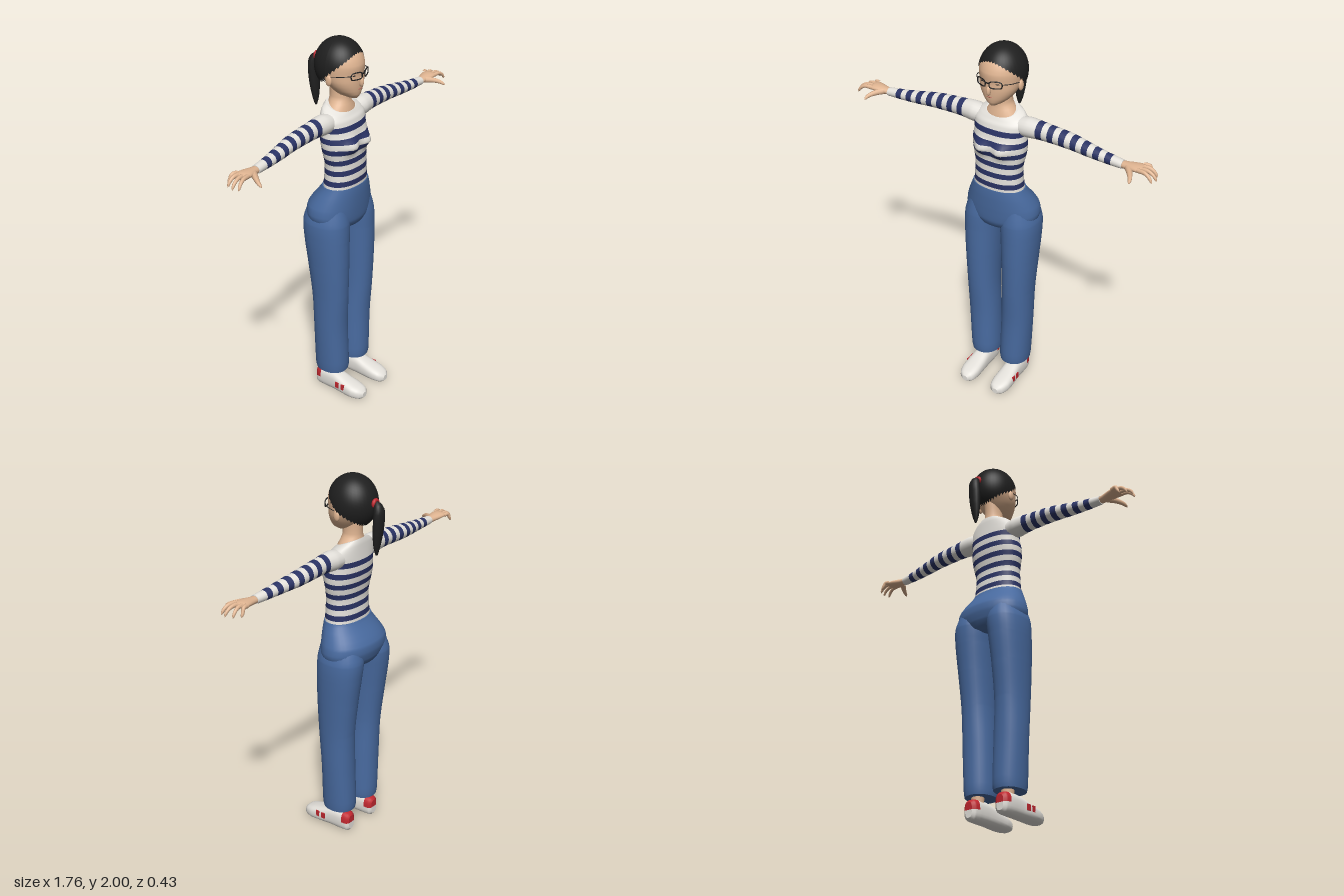
import * as THREE from 'three';

const flat = (name, color, extra = {}) => Object.assign(new THREE.MeshStandardMaterial({ color, ...extra }), { name });
const skin = flat('skin', 0xdfb491);
const white = flat('white cloth', 0xe4e1db);
const navy = flat('navy stripe', 0x2a3365);
const denim = flat('denim', 0x486a9f);
const black = flat('black hair', 0x1f1f1f, { side: THREE.DoubleSide });
const red = flat('red trim', 0xc0272f);
const lip = flat('lip', 0xb5705f);

// Smooth interpolation of section rows keyed by their first value
function sample(rows, s) {
  let i = 0;
  while (i < rows.length - 2 && s > rows[i + 1][0]) i++;
  const a = rows[i], b = rows[i + 1], p = rows[i - 1] ?? a, n = rows[i + 2] ?? b;
  const h = b[0] - a[0], t = (s - a[0]) / h;
  return a.map((v, k) => {
    const m0 = (b[k] - p[k]) / (b[0] - p[0]) * h, m1 = (n[k] - v) / (n[0] - a[0]) * h;
    return (2 * t ** 3 - 3 * t * t + 1) * v + (t ** 3 - 2 * t * t + t) * m0
      + (3 * t * t - 2 * t ** 3) * b[k] + (t ** 3 - t * t) * m1;
  });
}

// Loft along y. Row: [station, centre x, half width, front z, back z]
function loft(rows, { cuts = [], seg = 28, step = 0.02, e = 1, warp, mat = () => 0, capped = true } = {}) {
  const set = [...cuts, ...rows.map(r => r[0])];
  const s0 = rows[0][0], s1 = rows[rows.length - 1][0];
  for (let s = s0; s < s1; s += step) if (!set.some(c => Math.abs(c - s) < step * 0.3)) set.push(s);
  const st = set.filter(s => s >= s0 && s <= s1).sort((a, b) => a - b).filter((s, i, all) => !i || s - all[i - 1] > 1e-5);
  const pos = [], buckets = [[], []];
  const bend = v => Math.sign(v) * Math.abs(v) ** e;
  const ring = s => {
    const [, c, r, f, b] = sample(rows, s), first = pos.length / 3;
    for (let j = 0; j < seg; j++) {
      const a = j / seg * Math.PI * 2;
      const p = new THREE.Vector3(c + r * bend(Math.cos(a)), s, (f + b) / 2 + (f - b) / 2 * bend(Math.sin(a)));
      if (warp) warp(p, s);
      pos.push(p.x, p.y, p.z);
    }
    return first;
  };
  st.forEach(ring);
  for (let i = 0; i < st.length - 1; i++) for (let j = 0; j < seg; j++) {
    const k = (j + 1) % seg, a = i * seg + j, b = i * seg + k;
    buckets[mat((st[i] + st[i + 1]) / 2, (j + 0.5) / seg * Math.PI * 2)].push(a, a + seg, b, b, a + seg, b + seg);
  }
  if (capped) for (const [s, top] of [[s0, false], [s1, true]]) {
    const [, c, , f, b] = sample(rows, s), first = ring(s), mid = pos.length / 3;
    const p = new THREE.Vector3(c, s, (f + b) / 2);
    if (warp) warp(p, s);
    pos.push(p.x, p.y, p.z);
    for (let j = 0; j < seg; j++) {
      const x = first + j, y = first + (j + 1) % seg;
      buckets[mat(s, (j + 0.5) / seg * Math.PI * 2)].push(mid, top ? y : x, top ? x : y);
    }
  }
  const g = new THREE.BufferGeometry();
  g.setAttribute('position', new THREE.Float32BufferAttribute(pos, 3));
  g.setIndex(buckets.flat());
  g.addGroup(0, buckets[0].length, 0);
  if (buckets[1].length) g.addGroup(buckets[0].length, buckets[1].length, 1);
  g.computeVertexNormals();
  return g;
}

// Tube whose radius tapers and closes at the tip
function taper(points, r0, r1) {
  const path = new THREE.CatmullRomCurve3(points.map(p => new THREE.Vector3(...p)));
  const n = 12, g = new THREE.TubeGeometry(path, n, 1, 10), p = g.attributes.position, v = new THREE.Vector3();
  for (let i = 0; i < p.count; i++) {
    const t = Math.floor(i / 11) / n, c = path.getPointAt(t);
    const r = (r0 + (r1 - r0) * t) * Math.sqrt(Math.max(0, 1 - t ** 10));
    v.fromBufferAttribute(p, i).sub(c).multiplyScalar(r).add(c);
    p.setXYZ(i, v.x, v.y, v.z);
  }
  g.computeVertexNormals();
  return g;
}

const ball = (x, y, z, a, b, c) => new THREE.SphereGeometry(1, 20, 14).scale(a, b, c).translate(x, y, z);

function mirrored(geo) {
  const g = geo.clone().scale(-1, 1, 1), ix = g.index;
  for (let i = 0; i < ix.count; i += 3) {
    const a = ix.getX(i);
    ix.setX(i, ix.getX(i + 2));
    ix.setX(i + 2, a);
  }
  return g;
}

export function createModel() {
  const model = new THREE.Group();
  model.name = 'woman';
  const add = (name, geo, mat) => {
    const m = new THREE.Mesh(geo, mat);
    m.name = name;
    model.add(m);
  };
  const pair = (name, geo, mat) => {
    add(name + 'Left', geo, mat);
    add(name + 'Right', mirrored(geo), mat);
  };
  // Stripe helper: band edges and a test for a repeating pattern
  const stripes = (start, pitch, width, count) => ({
    cuts: Array.from({ length: count * 2 }, (_, i) => start + (i >> 1) * pitch + (i % 2) * width),
    mat: s => (s > start && s < start + pitch * count && (s - start) % pitch < width ? 1 : 0),
  });

  // Shirt body with bust and a neckline that dips at the front
  add('shirt', loft([
    [1.225, 0, 0.142, 0.1, -0.078], [1.28, 0, 0.135, 0.1, -0.074], [1.36, 0, 0.133, 0.095, -0.07],
    [1.42, 0, 0.145, 0.094, -0.078], [1.48, 0, 0.151, 0.094, -0.088], [1.54, 0, 0.145, 0.086, -0.092],
    [1.59, 0, 0.15, 0.072, -0.09], [1.62, 0, 0.14, 0.06, -0.088], [1.643, 0, 0.115, 0.052, -0.086],
    [1.655, 0, 0.086, 0.047, -0.082],
  ], {
    ...stripes(1.25, 0.0585, 0.028, 6), seg: 40, step: 0.012, e: 0.9,
    warp: (p, s) => {
      if (p.z > 0) p.z += 0.036 * Math.exp(-(((s - 1.465) / 0.035) ** 2) - ((Math.abs(p.x) - 0.06) / 0.045) ** 2);
      if (s > 1.6) p.y -= 0.024 * (s - 1.6) / 0.055 * (p.z + 0.02) / 0.06;
    },
  }), [white, navy]);

  // Sleeves, lofted along x: rows hold minus the height
  pair('sleeve', loft([
    [0.09, -1.585, 0.045, 0.035, -0.065], [0.16, -1.59, 0.052, 0.04, -0.068], [0.24, -1.59, 0.047, 0.03, -0.06],
    [0.4, -1.58, 0.04, 0.026, -0.06], [0.5, -1.571, 0.034, 0.03, -0.046], [0.6, -1.563, 0.028, 0.03, -0.03],
    [0.695, -1.558, 0.022, 0.03, -0.02],
  ], { ...stripes(0.217, 0.0645, 0.033, 7), seg: 20 }).rotateZ(-Math.PI / 2), [white, navy]);

  // Hands
  pair('palm', loft([
    [0.68, -1.558, 0.017, 0.025, -0.016], [0.72, -1.56, 0.018, 0.032, -0.022], [0.76, -1.564, 0.018, 0.042, -0.032],
    [0.795, -1.566, 0.014, 0.043, -0.036], [0.81, -1.565, 0.007, 0.036, -0.03],
  ], { seg: 18 }).rotateZ(-Math.PI / 2), skin);
  [[-0.03, 0.835, -0.043], [-0.01, 0.866, -0.018], [0.012, 0.88, 0.02], [0.033, 0.87, 0.05]].forEach(([z0, x, z], i) =>
    pair('finger' + (i + 1), taper([[0.785, 1.567, z0], [(0.79 + x) / 2, 1.568, (z0 + z) / 2],
      [x - 0.012, 1.55, z * 0.95], [x, 1.528, z]], 0.012, 0.007), skin));
  pair('thumb', taper([[0.725, 1.558, 0.015], [0.755, 1.553, 0.055], [0.775, 1.543, 0.088], [0.782, 1.53, 0.112]], 0.018, 0.008), skin);

  // Trousers: hips and legs
  add('trouserHips', loft([
    [0.995, 0, 0.06, 0.06, -0.09], [1.01, 0, 0.13, 0.088, -0.135], [1.045, 0, 0.193, 0.1, -0.152],
    [1.09, 0, 0.206, 0.104, -0.163], [1.13, 0, 0.197, 0.106, -0.158], [1.18, 0, 0.174, 0.107, -0.122],
    [1.22, 0, 0.153, 0.106, -0.09], [1.235, 0, 0.147, 0.104, -0.083],
  ], { seg: 40, e: 0.92 }), denim);
  pair('trouserLeg', loft([
    [0.13, 0.093, 0.076, 0.08, -0.095], [0.155, 0.093, 0.08, 0.085, -0.1], [0.4, 0.103, 0.083, 0.083, -0.1],
    [0.6, 0.11, 0.082, 0.094, -0.106], [0.8, 0.113, 0.09, 0.1, -0.13], [0.95, 0.112, 0.098, 0.1, -0.151],
    [1.04, 0.107, 0.1, 0.098, -0.157], [1.12, 0.1, 0.08, 0.085, -0.135],
  ], { step: 0.03, e: 0.92 }), denim);

  // Shoes, lofted along z with red heels and side marks
  pair('ankle', new THREE.CylinderGeometry(0.034, 0.032, 0.08, 18).translate(0.097, 0.13, -0.03), skin);
  pair('shoe', loft([
    [-0.095, 0.1, 0.022, -0.015, -0.095], [-0.085, 0.1, 0.036, -0.003, -0.108], [-0.04, 0.1, 0.043, 0, -0.116],
    [0.03, 0.1, 0.046, 0, -0.112], [0.1, 0.102, 0.052, 0, -0.09], [0.16, 0.102, 0.052, 0, -0.073],
    [0.2, 0.1, 0.038, -0.003, -0.058], [0.215, 0.1, 0.016, -0.012, -0.042],
  ], { cuts: [-0.055], e: 0.75, mat: (s, a) => (s < -0.055 && Math.sin(a) < 0.1 ? 1 : 0) }).rotateX(Math.PI / 2), [white, red]);
  [0.065, 0.102].forEach((z, i) =>
    pair('shoeMark' + (i + 1), new THREE.BoxGeometry(0.009, 0.032, 0.022).translate(0.15, 0.056, z), red));

  // Neck and head
  add('neck', loft([
    [1.6, 0, 0.1, 0.05, -0.075], [1.64, 0, 0.088, 0.044, -0.08], [1.665, 0, 0.066, 0.036, -0.079],
    [1.69, 0, 0.05, 0.031, -0.076], [1.72, 0, 0.046, 0.03, -0.076], [1.8, 0, 0.046, 0.03, -0.085],
  ]), skin);
  add('head', loft([
    [1.705, 0, 0.018, 0.082, 0.01], [1.72, 0, 0.045, 0.093, -0.03], [1.75, 0, 0.076, 0.1, -0.06],
    [1.79, 0, 0.099, 0.103, -0.09], [1.83, 0, 0.108, 0.103, -0.12], [1.88, 0, 0.111, 0.106, -0.135],
    [1.93, 0, 0.098, 0.086, -0.12], [1.965, 0, 0.065, 0.05, -0.085], [1.98, 0, 0.02, 0, -0.04],
  ], { seg: 36, step: 0.012 }), skin);
  add('nose', ball(0, 1.8, 0.104, 0.011, 0.026, 0.014).translate(0, -0.004, 0.004), skin);
  add('mouth', ball(0, 1.759, 0.0985, 0.018, 0.004, 0.005), lip);
  pair('ear', ball(0.111, 1.808, -0.01, 0.011, 0.028, 0.018), skin);
  pair('eye', ball(0.04, 1.834, 0.094, 0.014, 0.003, 0.004), black);

  // Glasses
  const rim = Array.from({ length: 16 }, (_, i) => {
    const a = i / 8 * Math.PI, q = v => Math.sign(v) * Math.abs(v) ** 0.6;
    return new THREE.Vector3(0.041 + 0.03 * q(Math.cos(a)), 1.836 + 0.018 * q(Math.sin(a)), 0.109 - 0.012 * q(Math.cos(a)));
  });
  pair('glassesRim', new THREE.TubeGeometry(new THREE.CatmullRomCurve3(rim, true), 40, 0.0032, 6, true), black);
  pair('glassesArm', taper([[0.071, 1.84, 0.097], [0.1, 1.838, 0.06], [0.113, 1.83, 0]], 0.002, 0.002), black);
  add('glassesBridge', new THREE.BoxGeometry(0.024, 0.005, 0.005).translate(0, 1.842, 0.119), black);

  // Hair cap with an arched hairline, lowest at the nape
  const cap = new THREE.SphereGeometry(1, 40, 20), p = cap.attributes.position;
  for (let i = 0; i < p.count; i++) {
    const az = cap.attributes.uv.getX(i) * Math.PI * 2, c = Math.sin(az);
    const edge = 1.82 + (c > 0 ? 0.115 : 0.072) * c;
    const t = (1 - cap.attributes.uv.getY(i)) * Math.acos((edge - 1.86) / 0.14);
    p.setXYZ(i, -0.122 * Math.cos(az) * Math.sin(t), 1.86 + 0.14 * Math.cos(t), -0.024 + 0.13 * c * Math.sin(t));
  }
  cap.computeVertexNormals();
  add('hairCap', cap, black);
  add('hairTie', new THREE.TorusGeometry(0.016, 0.01, 10, 20).translate(0, 1.876, -0.163), red);
  add('ponytail', loft([
    [1.61, 0, 0.006, -0.168, -0.178], [1.65, 0, 0.02, -0.16, -0.188], [1.72, 0, 0.031, -0.157, -0.202],
    [1.8, 0, 0.035, -0.16, -0.211], [1.85, 0, 0.03, -0.16, -0.21], [1.878, 0, 0.018, -0.156, -0.194],
    [1.888, 0, 0.006, -0.155, -0.178],
  ], { seg: 18 }), black);
  return model;
}
